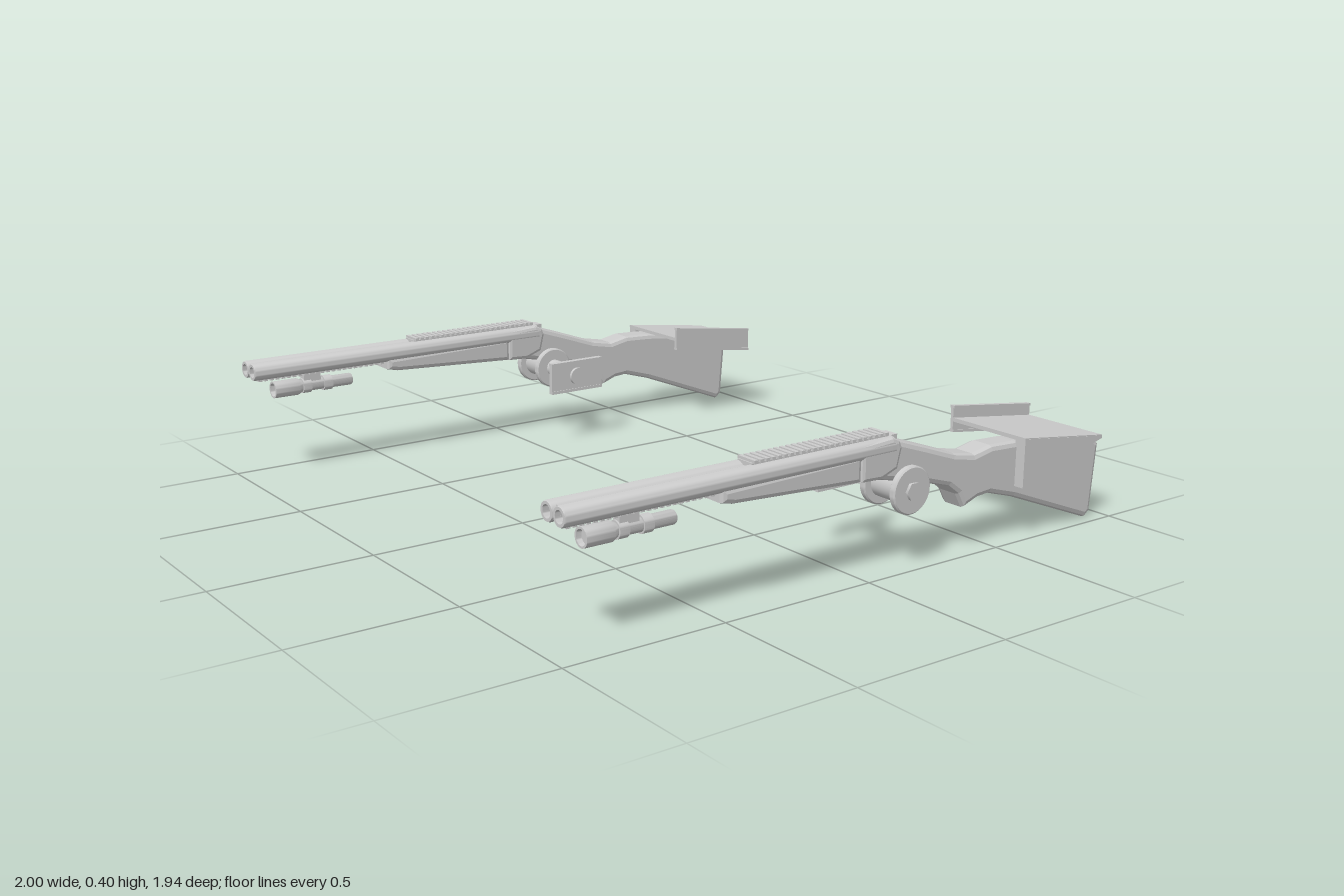
import * as THREE from 'three';
import { toCreasedNormals } from 'three/addons/utils/BufferGeometryUtils.js';

const material = new THREE.MeshStandardMaterial({ color: 0xcccccc });

function add(parent, name, geometry, x = 0, y = 0, z = 0) {
  const mesh = new THREE.Mesh(geometry, material);
  mesh.name = name;
  mesh.position.set(x, y, z);
  parent.add(mesh);
  return mesh;
}

const box = (w, h, d) => new THREE.BoxGeometry(w, h, d);

// Side profile of [z, y] points, extruded across x and centred on x = 0
function profile(points, width, bevel = 0) {
  const shape = new THREE.Shape(points.map(([z, y]) => new THREE.Vector2(z, y)));
  const g = new THREE.ExtrudeGeometry(shape, {
    depth: width - 2 * bevel, bevelEnabled: bevel > 0, bevelSize: bevel,
    bevelThickness: bevel, bevelOffset: -bevel, bevelSegments: 2,
  });
  g.translate(0, 0, -(width - 2 * bevel) / 2);
  g.rotateY(-Math.PI / 2);
  return g;
}

// Turned part along z from [radius, z] points, rear to front
function turned(points) {
  const g = new THREE.LatheGeometry(points.map(([r, z]) => new THREE.Vector2(r, z)), 32);
  g.rotateX(Math.PI / 2);
  return toCreasedNormals(g, 0.6);
}

function cylinderX(radius, length, sides = 32) {
  const g = new THREE.CylinderGeometry(radius, radius, length, sides);
  g.rotateZ(Math.PI / 2);
  return g;
}

// Ring facing x with a round hole
function ringX(outer, inner, width) {
  const shape = new THREE.Shape().absarc(0, 0, outer, 0, Math.PI * 2);
  shape.holes.push(new THREE.Path().absarc(0, 0, inner, 0, Math.PI * 2, true));
  const bevel = 0.004;
  const g = new THREE.ExtrudeGeometry(shape, {
    depth: width - 2 * bevel, curveSegments: 32, bevelSize: bevel,
    bevelThickness: bevel, bevelOffset: -bevel, bevelSegments: 1,
  });
  g.translate(0, 0, -width / 2 + bevel);
  g.rotateY(Math.PI / 2);
  return toCreasedNormals(g, 0.5);
}

// side = +1 or -1: the direction of the outer face
function createLongarm(side) {
  const gun = new THREE.Group();

  // Twin barrels with open bores
  for (const x of [-0.028, 0.028]) {
    add(gun, 'barrel', turned([
      [0, -0.11], [0.028, -0.11], [0.028, 0.965], [0.026, 0.97],
      [0.018, 0.97], [0.018, 0.8], [0, 0.8],
    ]), x, 0.365, 0);
  }
  add(gun, 'barrelRib', box(0.022, 0.04, 1.05), 0, 0.365, 0.43);

  // Toothed rails above and below the barrels
  add(gun, 'topRail', box(0.06, 0.012, 0.48), 0, 0.391, 0.14);
  for (let i = 0; i < 24; i++)
    add(gun, 'topRailTooth', box(0.07, 0.009, 0.012), 0, 0.4, -0.09 + i * 0.02);
  add(gun, 'lowerRail', box(0.04, 0.014, 0.46), 0, 0.341, 0.72);
  for (let i = 0; i < 23; i++)
    add(gun, 'lowerRailTooth', box(0.045, 0.007, 0.012), 0, 0.332, 0.5 + i * 0.02);

  // Forend and receiver
  add(gun, 'forend', profile([
    [0.49, 0.35], [0.49, 0.312], [0.45, 0.303], [0.01, 0.281], [0.01, 0.36],
  ], 0.1, 0.014));
  add(gun, 'receiver', profile([
    [0.015, 0.385], [0.015, 0.281], [-0.06, 0.278], [-0.12, 0.3],
    [-0.135, 0.36], [-0.125, 0.382], [-0.1, 0.392],
  ], 0.108, 0.012));
  add(gun, 'breechLever', box(0.045, 0.025, 0.05), 0, 0.379, -0.115);

  // Stock with wrist and grip
  add(gun, 'stock', profile([
    [-0.03, 0.375], [-0.12, 0.382], [-0.25, 0.338], [-0.35, 0.303], [-0.43, 0.288],
    [-0.5, 0.302], [-0.6, 0.298], [-0.93, 0.266], [-0.97, 0.235], [-0.952, 0.02],
    [-0.93, 0.002], [-0.6, 0.128], [-0.5, 0.157], [-0.45, 0.153], [-0.395, 0.133],
    [-0.37, 0.178], [-0.33, 0.208], [-0.25, 0.232], [-0.12, 0.262], [-0.03, 0.281],
  ], 0.092, 0.016));

  // Torch under the barrels
  add(gun, 'torch', turned([
    [0, 0.61], [0.018, 0.61], [0.02, 0.615], [0.02, 0.79], [0.028, 0.805],
    [0.028, 0.89], [0.022, 0.89], [0.02, 0.875], [0, 0.875],
  ]), 0, 0.29, 0);
  for (const z of [0.7, 0.775])
    add(gun, 'torchClamp', turned([[0, -0.015], [0.025, -0.015], [0.025, 0.015], [0, 0.015]]), 0, 0.29, z);
  add(gun, 'torchMount', box(0.03, 0.03, 0.06), 0, 0.32, 0.755);

  // Cross axle with a wheel on each side and an inner end plate
  const axle = new THREE.Group();
  axle.name = 'axle';
  axle.position.set(0, 0.235, -0.16);
  gun.add(axle);
  add(axle, 'shaft', cylinderX(0.03, 0.26), -side * 0.085);
  add(axle, 'hub', cylinderX(0.045, 0.1), 0);
  for (const d of [1, -1]) {
    add(axle, 'wheel', ringX(0.07, 0.022, 0.022), d * side * 0.06);
    add(axle, 'wheelCap', cylinderX(0.04, 0.026), d * side * 0.058);
  }
  add(axle, 'hexBolt', cylinderX(0.027, 0.03, 6), side * 0.065);
  add(axle, 'endPlate', box(0.016, 0.11, 0.21), -side * 0.214);
  for (const y of [-0.05, 0.05])
    add(axle, 'endPlateLip', box(0.022, 0.01, 0.21), -side * 0.214, y);
  add(axle, 'endPlateBolt', cylinderX(0.03, 0.012), -side * 0.227);

  // Shelf on the stock, with a wedge on the outer side and a flange on the inner
  const strip = (top, bottom) => [
    [-0.6, 0.315 + top], [-0.94, 0.272 + top], [-0.94, 0.272 + bottom], [-0.6, 0.315 + bottom],
  ];
  add(gun, 'shelf', profile(strip(0, -0.012), 0.29), -side * 0.067);
  add(gun, 'shelfWedge', profile([
    [-0.6, 0.312], [-0.94, 0.269], [-0.94, 0.262], [-0.6, 0.163],
  ], 0.038), side * 0.06);
  add(gun, 'shelfFlange', profile(strip(0.038, -0.045), 0.01), -side * 0.216);
  for (const t of [0.038, -0.037])
    add(gun, 'flangeLip', profile(strip(t, t - 0.008), 0.016), -side * 0.216);
  return gun;
}

export function createModel() {
  const model = new THREE.Group();
  model.name = 'longarmPair';
  for (const side of [1, -1]) {
    const gun = createLongarm(side);
    gun.name = side > 0 ? 'leftLongarm' : 'rightLongarm';
    gun.position.x = side * 0.921;
    model.add(gun);
  }
  return model;
}
